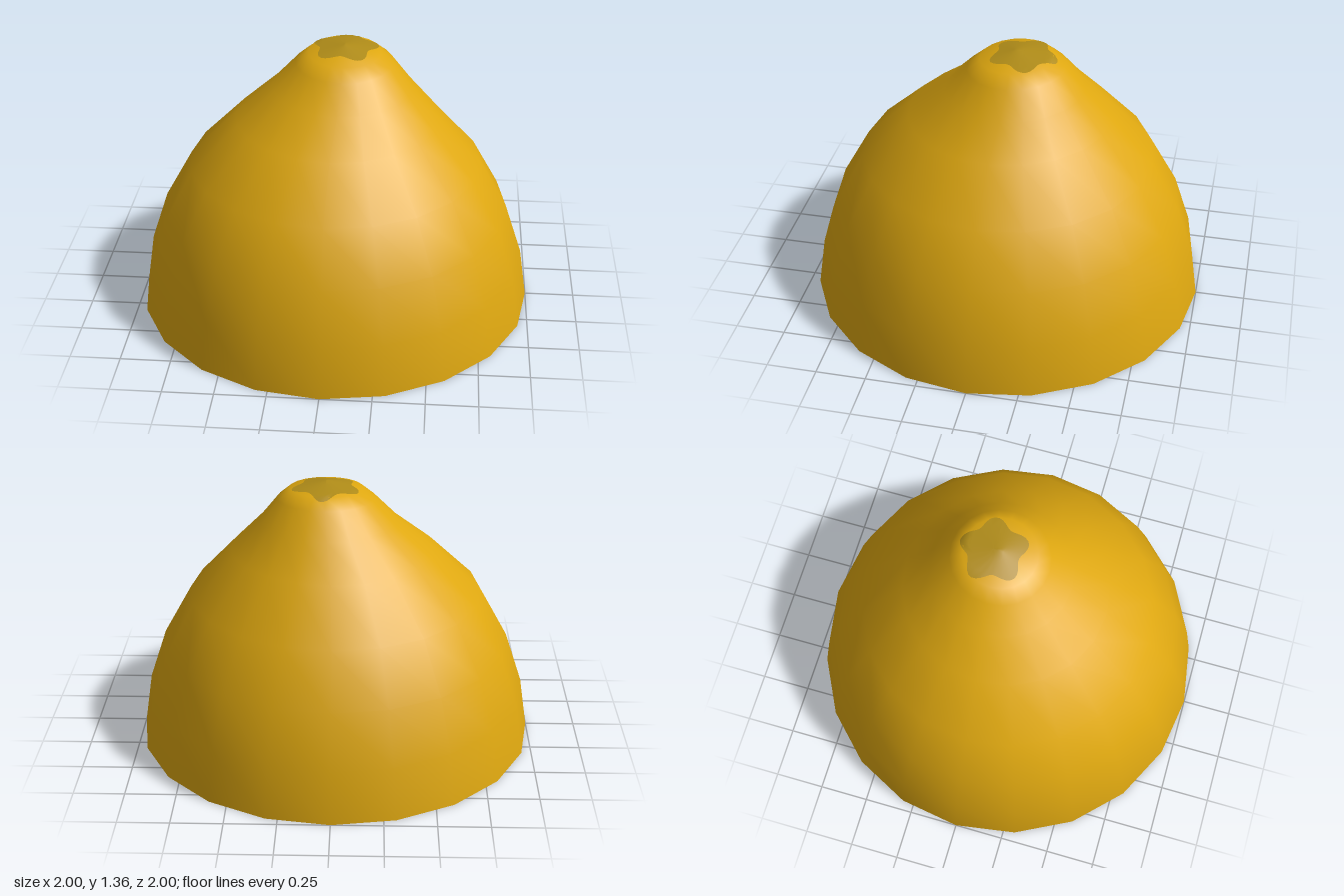
import * as THREE from 'three';
import { mergeVertices } from 'three/addons/utils/BufferGeometryUtils.js';

const SIDES = 20;
const material = (name, color, side = THREE.FrontSide) => {
  const m = new THREE.MeshStandardMaterial({ color, side });
  m.name = name;
  return m;
};

export function createModel() {
  const group = new THREE.Group();
  group.name = 'halfLemon';
  const peel = material('peelYellow', 0xdfa810);
  const flesh = material('fleshYellow', 0xe0a80e);
  const pith = material('pithCream', 0xf8de94);
  const scar = material('stemScarOlive', 0xb08c18);

  const add = (name, geometry, mat) => {
    const mesh = new THREE.Mesh(geometry, mat);
    mesh.name = name;
    group.add(mesh);
    return mesh;
  };
  // Flat shape facing down; shape coordinates are (x, z)
  const addFlat = (name, shape, mat, y) =>
    add(name, new THREE.ShapeGeometry(shape).rotateX(Math.PI / 2).translate(0, y, 0), mat);
  const loop = (n, radius) => Array.from({ length: n }, (_, i) => {
    const a = (i / n) * Math.PI * 2, r = radius(a);
    return new THREE.Vector2(r * Math.cos(a), r * Math.sin(a));
  });

  // Peel: lathed dome whose nipple leans slightly off axis
  const profile = [[1, 0], [0.96, 0.26], [0.873, 0.52], [0.733, 0.77], [0.51, 1],
    [0.347, 1.155], [0.243, 1.275], [0.18, 1.327], [0, 1.36]]
    .map(([x, y]) => new THREE.Vector2(x, y));
  const lathe = new THREE.LatheGeometry(profile, SIDES);
  lathe.deleteAttribute('normal');
  lathe.deleteAttribute('uv');
  const dome = mergeVertices(lathe);
  const p = dome.attributes.position;
  for (let i = 0; i < p.count; i++) {
    const x = p.getX(i), y = p.getY(i), z = p.getZ(i);
    const t = THREE.MathUtils.smoothstep(y, 0.85, 1.3);
    p.setXYZ(i, x + 0.043 * t, y - 0.06 * z * t, z - 0.05 * t);
  }
  dome.computeVertexNormals();
  const body = add('peel', dome, peel);
  body.updateMatrixWorld();

  // Stem scar: rounded star laid onto the tip
  const star = new THREE.RingGeometry(0.001, 1, 50, 8);
  const s = star.attributes.position;
  const ray = new THREE.Raycaster();
  const down = new THREE.Vector3(0, -1, 0);
  for (let i = 0; i < s.count; i++) {
    const a = Math.atan2(-s.getY(i), s.getX(i));
    const r = 0.148 + 0.022 * Math.cos(5 * (a + Math.PI / 2 - 0.1));
    const x = 0.043 + r * s.getX(i), z = -0.083 - r * s.getY(i);
    ray.set(new THREE.Vector3(x, 3, z), down);
    const hit = ray.intersectObject(body)[0];
    s.setXYZ(i, x, (hit ? hit.point.y : 1.33) + 0.004, z);
  }
  star.computeVertexNormals();
  add('stemScar', star, scar);

  // Cut face: peel rim, flesh and pith
  const rim = new THREE.Shape(loop(SIDES, () => 1));
  rim.holes.push(new THREE.Path(loop(SIDES, () => 0.945)));
  addFlat('cutRim', rim, peel, 0);
  addFlat('flesh', new THREE.Shape(loop(SIDES, () => 0.95)), flesh, 0.005);

  // Membranes: angle in degrees, then [inner radius, outer radius, inner width, outer width] strips
  const membranes = [
    [319, [[0.4, 0.88, 0.018, 0.045], [0.05, 0.25, 0.03, 0.012]]],
    [270, [[0.08, 0.34, 0.04, 0.02], [0.38, 0.56, 0.025, 0.015], [0.6, 0.86, 0.012, 0.02]]],
    [218, [[0.61, 0.88, 0.015, 0.03]]],
    [161, [[0.05, 0.88, 0.025, 0.04]]],
    [110, [[0.05, 0.88, 0.025, 0.04]]],
    [52, [[0.12, 0.24, 0.025, 0.015], [0.76, 0.88, 0.015, 0.04]]],
    [8, [[0.68, 0.88, 0.012, 0.04]]],
  ];
  const angles = membranes.map(([deg]) => THREE.MathUtils.degToRad(deg));

  // Pith ring thickens into rounded corners where each membrane meets it
  const scallop = (a) => {
    const d = Math.min(...angles.map((m) => Math.abs(Math.atan2(Math.sin(a - m), Math.cos(a - m)))));
    return 0.85 - 0.1 * Math.exp(-d * 14);
  };
  const ring = new THREE.Shape(loop(SIDES, () => 0.945));
  ring.holes.push(new THREE.Path(loop(140, scallop)));
  addFlat('pithRing', ring, pith, 0.0005);

  membranes.forEach(([, strips], i) => {
    const along = new THREE.Vector2(Math.cos(angles[i]), Math.sin(angles[i]));
    const across = new THREE.Vector2(-along.y, along.x);
    const at = (r, w) => along.clone().multiplyScalar(r).addScaledVector(across, w / 2);
    for (const [r0, r1, w0, w1] of strips) {
      addFlat('membrane', new THREE.Shape([at(r0, -w0), at(r1, -w1), at(r1, w1), at(r0, w0)]), pith, 0.001);
    }
  });

  // Spiky pith core
  const core = new THREE.Shape(loop(28, (a) => 0.085 + 0.045 * Math.cos(7 * (a - angles[3]))));
  addFlat('pithCore', core, pith, 0.0015);

  return group;
}
